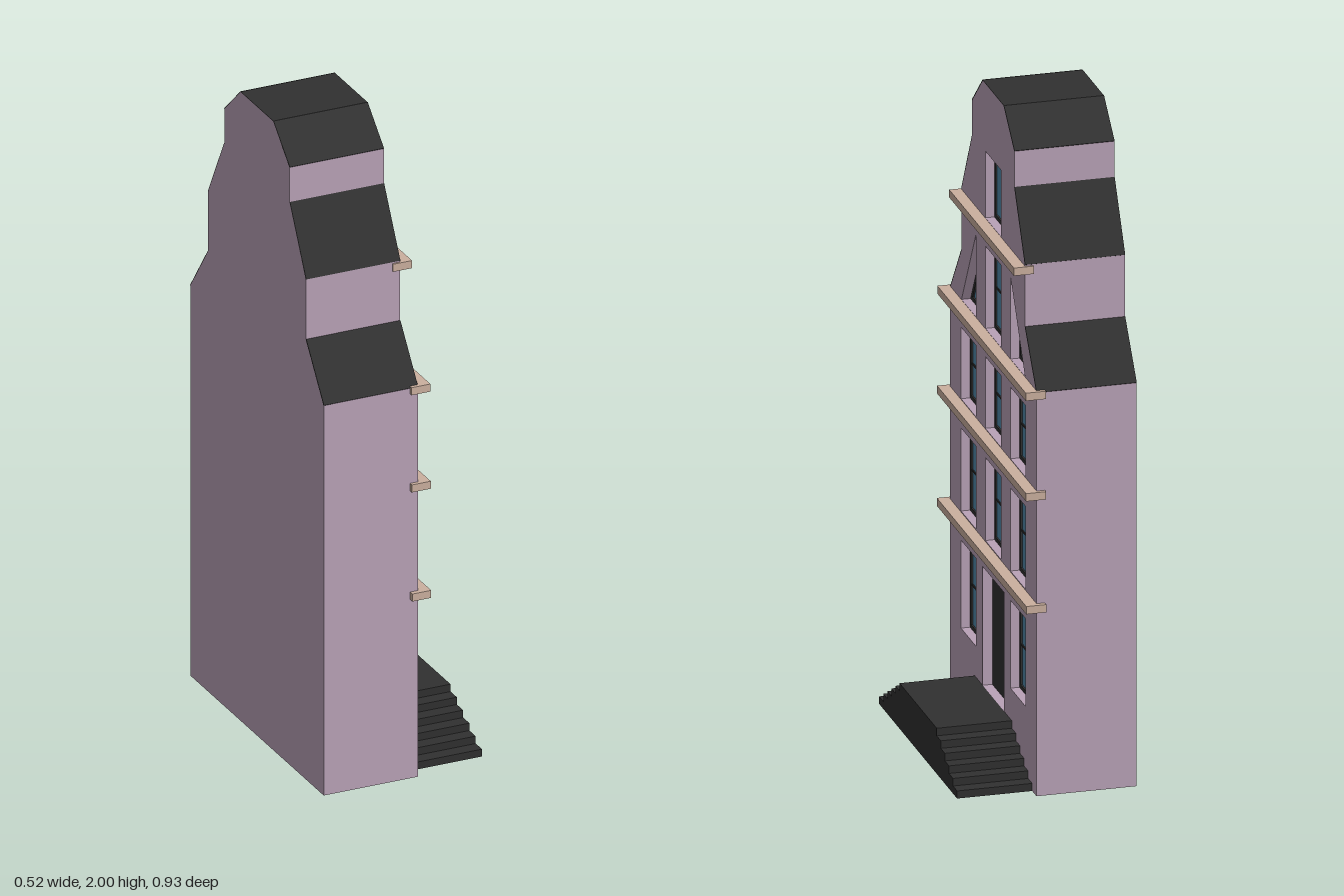
import * as THREE from 'three';

const mat = (name, color, extra = {}) => new THREE.MeshStandardMaterial({ name, color, ...extra });

export function createModel() {
  const wall = mat('mauve wall', 0xb9a2b7);
  const dark = mat('charcoal', 0x303030, { side: THREE.DoubleSide });
  const glass = mat('blue glass', 0x5189ab);
  const stone = mat('tan stone', 0xcbb09f);

  const model = new THREE.Group();
  model.name = 'gabledHouse';
  // Facade space: X runs along the facade, Z points out of it (world +x)
  const house = new THREE.Group();
  house.name = 'house';
  house.rotation.y = Math.PI / 2;
  model.add(house);

  const add = (name, geometry, material, x = 0, y = 0, z = 0) => {
    const m = new THREE.Mesh(geometry, material);
    m.name = name;
    m.position.set(x, y, z);
    house.add(m);
    return m;
  };
  const box = (name, w, h, d, material, x, y, z) =>
    add(name, new THREE.BoxGeometry(w, h, d), material, x, y, z);
  const toShape = pts => new THREE.Shape(pts.map(p => new THREE.Vector2(...p)));
  const extrude = (shape, depth) => new THREE.ExtrudeGeometry(shape, { depth, bevelEnabled: false });

  // Moves every edge of a counter-clockwise polygon inwards by d
  const inset = (pts, d) => pts.map((p, i) => {
    const a = pts[(i + pts.length - 1) % pts.length], b = pts[(i + 1) % pts.length];
    const u = new THREE.Vector2(p[0] - a[0], p[1] - a[1]).normalize();
    const v = new THREE.Vector2(b[0] - p[0], b[1] - p[1]).normalize();
    const k = d / u.cross(v);
    return [p[0] + k * (v.x - u.x), p[1] + k * (v.y - u.y)];
  });
  const rect = (x0, x1, y0, y1) => [[x0, y0], [x1, y0], [x1, y1], [x0, y1]];

  const BACK = -0.265, RECESS = 0, FRONT = 0.035;

  // Stepped gable outline
  const half = [[0.45, 0], [0.45, 1.24], [0.33, 1.4], [0.33, 1.59], [0.22, 1.79], [0.22, 1.9], [0.11, 2]];
  const outline = [...half, ...half.map(([x, y]) => [-x, y]).reverse()];

  // Openings: windows by row, two slanted attic windows, door
  const windows = [];
  const rows = [
    [0.235, 0.505, [-1, 1]], [0.595, 0.85, [-1, 0, 1]], [0.94, 1.16, [-1, 0, 1]],
    [1.247, 1.5, [0]], [1.587, 1.792, [0]],
  ];
  rows.forEach(([y0, y1, columns], r) => columns.forEach(c => {
    const cx = c * 0.257, hw = c ? 0.078 : 0.082;
    windows.push({ pts: rect(cx - hw, cx + hw, y0, y1), cx, cy: (y0 + y1) / 2, hw, bar: r < 4 });
  }));
  windows.push({ pts: [[-0.33, 1.247], [-0.18, 1.247], [-0.18, 1.5]] });
  windows.push({ pts: [[0.18, 1.247], [0.33, 1.247], [0.18, 1.5]] });
  const door = rect(-0.11, 0.11, 0.14, 0.505);

  // Body and pierced front wall
  add('body', extrude(toShape(outline), RECESS - BACK), wall, 0, 0, BACK);
  const facade = toShape(outline);
  [...windows.map(w => w.pts), door].forEach(p => facade.holes.push(toShape(p)));
  add('frontWall', extrude(facade, FRONT - RECESS), wall, 0, 0, RECESS);

  // Window frames, panes and glazing bars
  for (const w of windows) {
    const inner = inset(w.pts, 0.012);
    const frame = toShape(w.pts);
    frame.holes.push(toShape(inner));
    add('windowFrame', extrude(frame, 0.008), dark, 0, 0, RECESS);
    add('windowPane', new THREE.ShapeGeometry(toShape(inner)), glass, 0, 0, RECESS + 0.003);
    if (!w.hw) continue;
    box('glazingBar', w.bar ? w.hw * 2 - 0.02 : 0.035, 0.006, 0.004, dark, w.cx, w.cy, RECESS + 0.004);
    box('glazingCross', 0.005, 0.03, 0.004, dark, w.cx, w.cy, RECESS + 0.004);
  }
  add('door', extrude(toShape(door), 0.006), dark, 0, 0, RECESS);

  // Dark roofing on the slopes and the flat top
  const roof = (a, b) => {
    const len = Math.hypot(b[0] - a[0], b[1] - a[1]);
    const plate = box('roofPlate', len, 0.004, FRONT - BACK, dark,
      (a[0] + b[0]) / 2, (a[1] + b[1]) / 2, (FRONT + BACK) / 2);
    plate.rotation.z = Math.atan2(b[1] - a[1], b[0] - a[0]);
  };
  for (const i of [1, 3, 5]) {
    const [a, b] = [half[i], half[i + 1]];
    roof(a, b);
    roof([-b[0], b[1]], [-a[0], a[1]]);
  }
  roof([-0.11, 1.999], [0.11, 1.999]);

  // Stone string courses
  for (const [y, w] of [[0.58, 0.93], [0.926, 0.925], [1.234, 0.92], [1.574, 0.672]])
    box('stoneBand', w, 0.024, 0.06, stone, 0, y, 0.04);

  // Double flight of steps: hollow shell, open below and against the wall
  const STEPS = 6, rise = 0.14 / STEPS, run = 0.0424, OUT = 0.26;
  const side = [];
  for (let i = 0; i < STEPS; i++) {
    const x = 0.405 - i * run;
    side.push([x, i * rise], [x, (i + 1) * rise]);
  }
  const steps = [...side, ...side.map(([x, y]) => [-x, y]).reverse()];
  add('stairFront', new THREE.ShapeGeometry(toShape(steps)), dark, 0, 0, OUT);
  const pos = [];
  for (let i = 0; i < steps.length - 1; i++) {
    const [a, b] = [steps[i], steps[i + 1]];
    const q = [[...a, FRONT], [...a, OUT], [...b, OUT], [...b, FRONT]];
    for (const k of [0, 2, 1, 0, 3, 2]) pos.push(...q[k]);
  }
  const treads = new THREE.BufferGeometry();
  treads.setAttribute('position', new THREE.Float32BufferAttribute(pos.reverse().length ? flip(pos) : pos, 3));
  treads.computeVertexNormals();
  add('stairTreads', treads, dark);

  return model;
}

// Restores xyz order of a reversed coordinate list, which also turns the faces over
function flip(list) {
  const out = [];
  for (let i = 0; i < list.length; i += 3) out.push(list[i + 2], list[i + 1], list[i]);
  return out;
}
